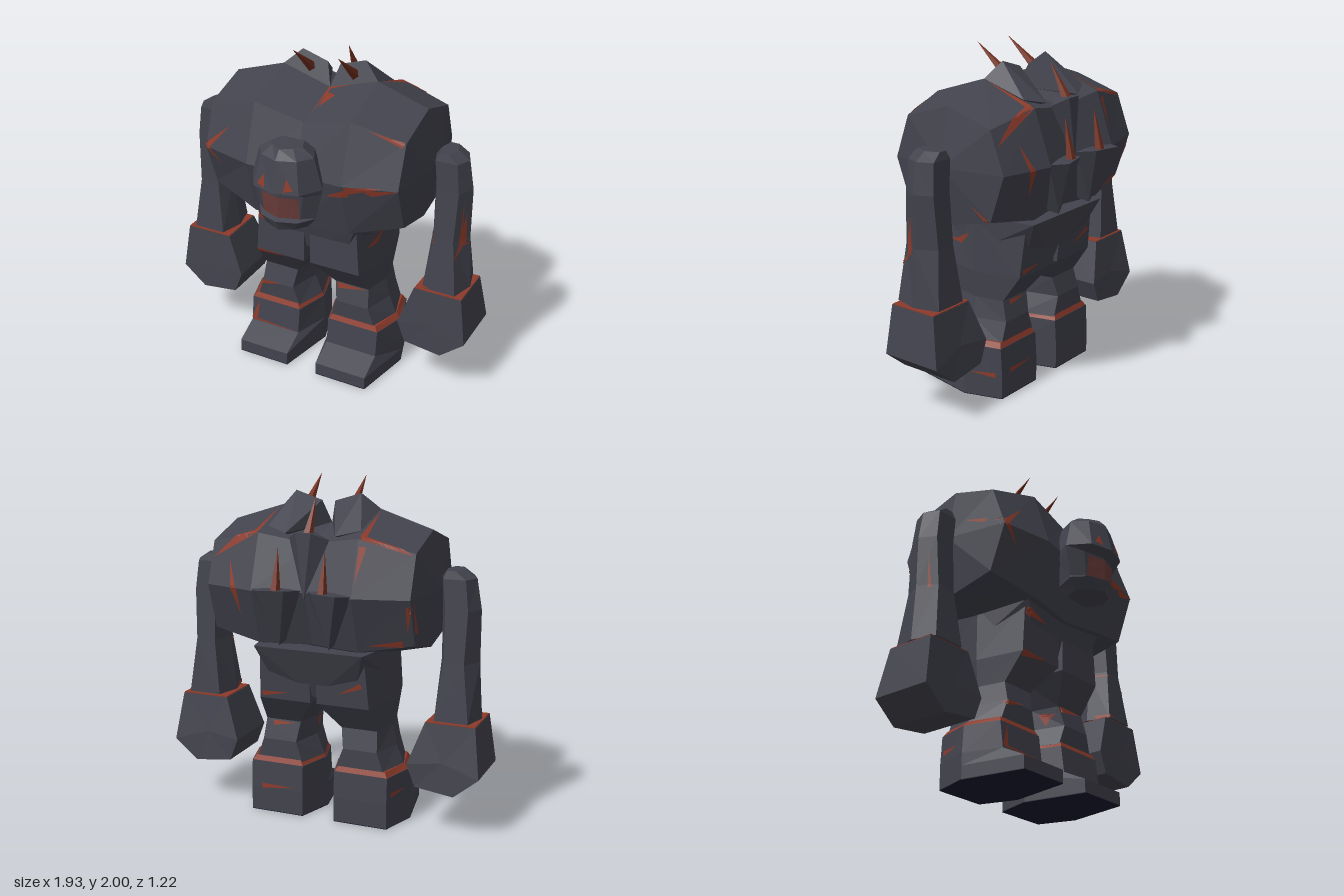
import * as THREE from 'three';
import { ConvexGeometry } from 'three/addons/geometries/ConvexGeometry.js';

const mat = (name, color, side = THREE.FrontSide) => {
  const m = new THREE.MeshStandardMaterial({ color, flatShading: true, side });
  m.name = name;
  return m;
};
const V = (x, y, z) => new THREE.Vector3(x, y, z);

// Skin over a list of rings, closed by a fan to a tip at each end
function loft(rings, tipA, tipB) {
  const mid = (r) => r.reduce((a, p) => a.add(p), V(0, 0, 0)).divideScalar(r.length);
  const n = rings[0].length, last = rings.length - 1, tris = [];
  const a = tipA || mid(rings[0]), b = tipB || mid(rings[last]);
  for (let j = 0; j < n; j++) {
    const k = (j + 1) % n;
    tris.push([a, rings[0][k], rings[0][j]], [b, rings[last][j], rings[last][k]]);
    for (let i = 0; i < last; i++) {
      const p = rings[i], q = rings[i + 1];
      tris.push([p[j], p[k], q[k]], [p[j], q[k], q[j]]);
    }
  }
  // Signed volume about a point inside tells whether the faces point outward
  let vol = 0;
  for (const [p, q, r] of tris) {
    vol += p.clone().sub(a).dot(q.clone().sub(a).cross(r.clone().sub(a)));
  }
  const pts = tris.flatMap((t) => (vol < 0 ? [t[0], t[2], t[1]] : t));
  const g = new THREE.BufferGeometry().setFromPoints(pts);
  g.computeVertexNormals();
  return g;
}

// Six-sided horizontal ring: flat front and back, pointed sides
const hexRing = (s, [y, x0, x1, xi, xo, zf, zb]) => [
  V(s * xi, y, zf), V(s * xo, y, zf), V(s * x1, y, -0.07),
  V(s * xo, y, zb), V(s * xi, y, zb), V(s * x0, y, -0.07),
];

export function createModel() {
  const model = new THREE.Group();
  model.name = 'rockGolem';
  const rock = mat('darkRock', 0x42434d);
  const lava = mat('lavaCrack', 0x8c3a2a, THREE.DoubleSide);
  const spikeRed = mat('spikeRed', 0x74301f);
  const mouthRed = mat('mouthRed', 0x6a3c3a, THREE.DoubleSide);
  const sole = mat('darkSole', 0x1a1830);
  const add = (name, geo, material = rock) => {
    const m = new THREE.Mesh(geo, material);
    m.name = name;
    model.add(m);
    return m;
  };

  // Barrel torso: eight-sided rings along x
  const end = [[0.22, 1.64], [-0.07, 1.73], [-0.36, 1.64], [-0.45, 1.4],
    [-0.36, 1.13], [-0.07, 1.06], [0.21, 1.12], [0.31, 1.39]];
  const shoulder = [[0.27, 1.72], [-0.07, 1.83], [-0.42, 1.71], [-0.53, 1.4],
    [-0.42, 1.08], [-0.07, 0.99], [0.29, 1.04], [0.38, 1.38]];
  const chest = [[0.25, 1.65], [-0.07, 1.74], [-0.38, 1.66], [-0.47, 1.4],
    [-0.36, 1.08], [-0.07, 0.97], [0.27, 1.01], [0.35, 1.36]];
  const slice = (x, prof) => prof.map(([z, y]) => V(x, y, z));
  add('torso', loft(
    [slice(-0.61, end), slice(-0.3, shoulder), slice(0, chest), slice(0.3, shoulder), slice(0.61, end)],
    V(-0.67, 1.4, -0.07), V(0.67, 1.4, -0.07)));

  // Waist wedge
  add('waist', new ConvexGeometry([
    ...hexRing(1, [1.06, -0.4, 0.4, -0.33, 0.33, 0.26, -0.44]),
    V(-0.39, 0.85, -0.07), V(0.39, 0.85, -0.07),
    V(-0.25, 0.86, 0.2), V(0.25, 0.86, 0.2), V(-0.25, 0.82, -0.33), V(0.25, 0.82, -0.33),
    V(0, 0.82, 0.19), V(0, 0.76, -0.33), V(0, 0.74, -0.07),
  ]));

  for (const s of [-1, 1]) {
    // Leg, glowing ankle rim, foot and sole
    add('leg', loft([
      [1.03, 0, 0.4, 0.02, 0.32, 0.22, -0.38],
      [0.73, 0, 0.4, 0.02, 0.34, 0.22, -0.35],
      [0.57, 0.1, 0.385, 0.13, 0.35, 0.1, -0.24],
      [0.45, 0.1, 0.41, 0.15, 0.36, 0.13, -0.27],
      [0.33, 0.05, 0.46, 0.11, 0.4, 0.12, -0.27],
    ].map((r) => hexRing(s, r))));
    add('ankleRim', loft([
      [0.34, 0.06, 0.46, 0.12, 0.41, 0.125, -0.27],
      [0.305, 0.04, 0.49, 0.1, 0.43, 0.14, -0.285],
    ].map((r) => hexRing(s, r))), lava);
    const foot = [
      [0.31, 0.04, 0.49, 0.1, 0.43, 0.14, -0.285],
      [0.15, 0.03, 0.5, 0.1, 0.43, 0.16, -0.295],
      [0.08, 0.03, 0.5, 0.1, 0.43, 0.305, -0.295],
      [0.004, 0.03, 0.5, 0.1, 0.43, 0.305, -0.295],
    ];
    add('foot', loft(foot.map((r) => hexRing(s, r))));
    add('sole', loft([foot[3], [0, ...foot[3].slice(1)]].map((r) => hexRing(s, r))), sole);

    // Arm
    add('arm', loft([
      [1.52, 0.7, 0.8, 0.72, 0.77, 0.01, -0.15],
      [1.475, 0.67, 0.87, 0.7, 0.83, 0.02, -0.16],
      [1.3, 0.675, 0.9, 0.72, 0.85, 0.025, -0.17],
      [1.0, 0.675, 0.9, 0.72, 0.84, 0.04, -0.19],
      [0.67, 0.64, 0.92, 0.68, 0.88, 0.075, -0.22],
    ].map((r) => hexRing(s, r))));

    // Fist: front outline carried from back to front, topped with a glowing rim
    const outline = [[0.63, 0.655], [0.925, 0.655], [0.965, 0.37], [0.82, 0.25], [0.59, 0.28], [0.54, 0.41]];
    const fistRing = (zTop, z) => outline.map(([x, y], i) => V(s * x, y, i < 2 ? zTop : z));
    add('fist', loft([fistRing(-0.22, -0.27), fistRing(0.08, 0.1)]));
    const rim = new THREE.BoxGeometry(0.29, 0.005, 0.295);
    rim.translate(s * 0.778, 0.6575, -0.07);
    add('wristRim', rim, lava);

    // Shoulder crags, opening forward and tapering back
    add('upperCrag', new ConvexGeometry([
      V(s * 0.3, 1.83, -0.07), V(0, 1.74, -0.07), V(s * 0.2, 1.92, -0.12), V(s * 0.04, 1.87, -0.12),
      V(s * 0.15, 1.71, -0.39), V(s * 0.28, 1.74, -0.33), V(s * 0.15, 1.65, -0.15),
    ]));
    // Lower back crags, flat on top and tapering down
    add('lowerCrag', new ConvexGeometry([
      V(s * 0.02, 1.41, -0.47), V(s * 0.08, 1.42, -0.57), V(s * 0.24, 1.42, -0.61), V(s * 0.3, 1.41, -0.52),
      V(s * 0.15, 1.09, -0.48), V(s * 0.15, 1.42, -0.42), V(s * 0.15, 1.1, -0.38),
    ]));
  }
  add('middleCrag', new ConvexGeometry([
    V(-0.12, 1.69, -0.4), V(0.12, 1.69, -0.4), V(-0.04, 1.73, -0.47), V(0.05, 1.73, -0.47),
    V(0, 1.72, -0.33), V(0, 1.36, -0.48), V(0, 1.4, -0.36),
  ]));

  // Spikes
  const spike = (from, to) => {
    const dir = to.clone().sub(from), len = dir.length();
    const g = new THREE.ConeGeometry(0.032, len, 5);
    g.translate(0, len / 2, 0);
    g.applyQuaternion(new THREE.Quaternion().setFromUnitVectors(V(0, 1, 0), dir.normalize()));
    g.translate(from.x, from.y, from.z);
    add('spike', g, spikeRed);
  };
  for (const s of [-1, 1]) {
    spike(V(s * 0.14, 1.83, -0.1), V(s * 0.14, 2, 0.11));
    spike(V(s * 0.14, 1.4, -0.55), V(s * 0.14, 1.65, -0.505));
  }
  spike(V(0, 1.7, -0.42), V(0, 1.915, -0.3));

  // Head with brow, mouth recess and jaw
  const headRing = ([y, w, zf, zb]) => {
    const half = [[0.64 * w, zf - 0.04], [w, 0.44], [0.68 * w, zb]];
    return [V(0, y, zf), ...half.map(([x, z]) => V(x, y, z)), ...half.reverse().map(([x, z]) => V(-x, y, z))];
  };
  add('head', loft([
    [1.6, 0.1, 0.52, 0.36], [1.55, 0.17, 0.565, 0.33], [1.37, 0.22, 0.605, 0.3], [1.34, 0.215, 0.55, 0.3],
    [1.19, 0.18, 0.54, 0.31], [1.18, 0.18, 0.575, 0.31], [1.12, 0.13, 0.55, 0.34],
  ].map(headRing)));

  // Painted strips: tapering bands laid on the rock as seen along one axis
  model.updateMatrixWorld(true);
  const targets = model.children.filter((m) => m.material === rock);
  const axes = {
    front: [(a, b) => V(a, b, 3), V(0, 0, -1)],
    back: [(a, b) => V(a, b, -3), V(0, 0, 1)],
    top: [(a, b) => V(a, 4, b), V(0, -1, 0)],
    left: [(a, b) => V(3, b, a), V(-1, 0, 0)],
    right: [(a, b) => V(-3, b, a), V(1, 0, 0)],
  };
  const strip = (name, view, [ax, ay, bx, by, w0, w1 = 0], material = lava) => {
    const [origin, dir] = axes[view], n = 10, len = Math.hypot(bx - ax, by - ay);
    const nx = -(by - ay) / len, ny = (bx - ax) / len, rows = [], pts = [];
    for (let i = 0; i <= n; i++) {
      const t = i / n, w = w0 + (w1 - w0) * t;
      rows.push([-0.5, 0, 0.5].map((k) => {
        const o = origin(ax + (bx - ax) * t + nx * w * k, ay + (by - ay) * t + ny * w * k);
        const hit = new THREE.Raycaster(o, dir).intersectObjects(targets, false)[0];
        return hit && hit.point.addScaledVector(dir, -0.006);
      }));
    }
    for (let i = 0; i < n; i++) for (let k = 0; k < 2; k++) {
      const q = [rows[i][k], rows[i + 1][k], rows[i + 1][k + 1], rows[i][k + 1]];
      if (q.some((p) => !p)) continue;
      const depth = q.map((p) => p.dot(dir));
      if (Math.max(...depth) - Math.min(...depth) > 0.07) continue;
      pts.push(q[0], q[1], q[2], q[0], q[2], q[3]);
    }
    if (!pts.length) return;
    const g = new THREE.BufferGeometry().setFromPoints(pts);
    g.computeVertexNormals();
    add(name, g, material);
  };

  // Face
  strip('mouth', 'front', [-0.115, 1.258, 0.115, 1.258, 0.13, 0.13], mouthRed);
  for (const s of [-1, 1]) strip('eye', 'front', [s * 0.085, 1.39, s * 0.07, 1.46, 0.055]);

  // Lava cracks: start, end, start width
  const cracks = {
    front: [
      [-0.6, 1.4, -0.45, 1.55, 0.035], [-0.6, 1.39, -0.65, 1.49, 0.03], [-0.6, 1.4, -0.5, 1.29, 0.03],
      [0.6, 1.63, 0.4, 1.69, 0.03], [0.32, 1.355, 0.52, 1.4, 0.05], [0.33, 1.34, 0.18, 1.28, 0.05],
      [0.01, 1.71, 0.08, 1.74, 0.04], [-0.32, 0.98, -0.14, 0.95, 0.05], [-0.36, 0.72, -0.13, 0.73, 0.04],
      [-0.37, 0.435, -0.22, 0.46, 0.03], [0.13, 0.55, 0.34, 0.565, 0.04], [0.12, 0.56, 0.12, 0.46, 0.03],
      [-0.41, 0.165, -0.38, 0.3, 0.04], [-0.42, 0.165, -0.08, 0.155, 0.015], [0.36, 0.87, 0.39, 0.95, 0.02],
      [0.875, 1.0, 0.885, 1.17, 0.025], [0.88, 1.0, 0.85, 0.88, 0.025],
      [0.66, 0.98, 0.74, 0.97, 0.02], [0.655, 0.685, 0.74, 0.68, 0.025],
    ],
    top: [
      [-0.31, -0.4, -0.6, -0.37, 0.04], [-0.32, -0.4, -0.31, -0.1, 0.035],
      [0.31, -0.4, 0.6, -0.4, 0.04], [0.32, -0.4, 0.31, -0.1, 0.035],
      [0.01, -0.06, 0.01, 0.2, 0.02], [0.01, -0.05, 0.14, -0.06, 0.02],
    ],
    left: [
      [0.35, 1.35, 0.31, 1.39, 0.05], [-0.37, 1.11, -0.23, 1.22, 0.03], [0.0, 0.98, -0.01, 1.25, 0.02],
      [0, 0.975, -0.08, 0.96, 0.02], [0.12, 0.88, 0.02, 0.885, 0.02], [-0.26, 0.145, -0.1, 0.15, 0.03],
    ],
    right: [[-0.36, 1.2, -0.42, 1.4, 0.03], [0.0, 0.98, -0.01, 1.2, 0.02], [-0.26, 0.2, -0.12, 0.21, 0.03]],
    back: [
      [0.42, 1.38, 0.47, 1.55, 0.04], [0.42, 1.4, 0.4, 1.24, 0.04], [-0.33, 1.67, -0.31, 1.48, 0.04],
      [-0.6, 1.36, -0.58, 1.2, 0.03], [-0.55, 1.14, -0.35, 1.12, 0.04], [0.32, 0.76, 0.15, 0.78, 0.03],
      [-0.3, 0.87, -0.15, 0.8, 0.03], [0.3, 0.55, 0.16, 0.56, 0.03], [0.36, 0.16, 0.15, 0.17, 0.03],
    ],
  };
  for (const [view, list] of Object.entries(cracks)) for (const c of list) strip('lavaCrack', view, c);
  return model;
}
